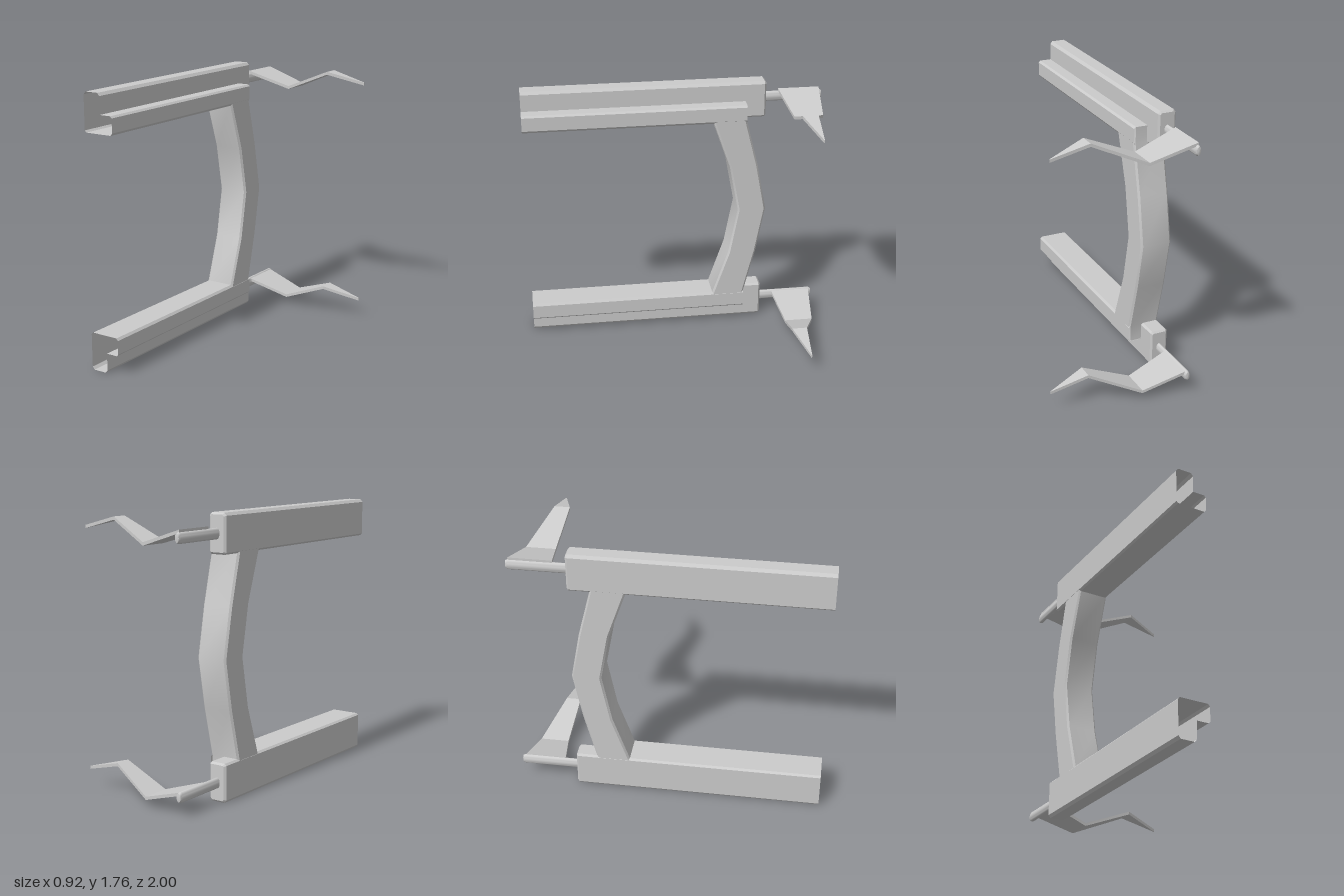
import * as THREE from 'three';
import { toCreasedNormals } from 'three/addons/utils/BufferGeometryUtils.js';

const MID = 0.88; // height of the horizontal symmetry plane
const grey = new THREE.MeshStandardMaterial({ color: 0xcccccc, side: THREE.DoubleSide });

function add(parent, name, geometry) {
  const mesh = new THREE.Mesh(geometry, grey);
  mesh.name = name;
  parent.add(mesh);
  return mesh;
}

const shapeOf = (pts) => new THREE.Shape(pts.map(([x, y]) => new THREE.Vector2(x, y)));

// Extrusion whose bevel stays inside the outline and the given depth
function bevelled(pts, depth, b) {
  const g = new THREE.ExtrudeGeometry(shapeOf(pts), {
    depth: depth - 2 * b, bevelEnabled: true, bevelThickness: b,
    bevelSize: b, bevelOffset: -b, bevelSegments: 1,
  });
  return g.translate(0, 0, b);
}

// Open-ended tube: an extrusion without its two caps
function openTube(pts, depth) {
  const g = new THREE.ExtrudeGeometry(shapeOf(pts), { depth, bevelEnabled: false });
  const start = g.groups[1].start;
  const open = new THREE.BufferGeometry();
  for (const [key, a] of Object.entries(g.attributes)) {
    open.setAttribute(key, new THREE.BufferAttribute(a.array.slice(start * a.itemSize), a.itemSize));
  }
  return open;
}

// Hollow L-section rail with a solid, chamfered rear end; side is 1 (top) or -1 (bottom)
function makeRail(side) {
  const rail = new THREE.Group();
  rail.name = side > 0 ? 'upperRail' : 'lowerRail';
  const place = ([x, h]) => [x, MID + side * h];
  const section = [
    [-0.46, 0.645], [-0.448, 0.633], [-0.262, 0.633], [-0.25, 0.648], [-0.25, 0.738], [-0.262, 0.75],
    [-0.34, 0.75], [-0.34, 0.862], [-0.355, 0.88], [-0.445, 0.88], [-0.46, 0.862],
  ];
  add(rail, 'railTube', openTube(section.map(place), 1.47)).position.z = -0.47;

  const end = [
    [-0.46, 0.645], [-0.448, 0.633], [-0.352, 0.633], [-0.34, 0.645],
    [-0.34, 0.862], [-0.355, 0.88], [-0.445, 0.88], [-0.46, 0.862],
  ];
  add(rail, 'railEnd', bevelled(end.map(place), 0.17, 0.012)).position.z = -0.61;
  return rail;
}

// Bowed upright joining both rails, drawn as [-z, y]
function makeUpright() {
  const half = [[0.61, 0], [0.55, 0.32], [0.47, 0.64], [0.47, 0.748], [0.25, 0.748], [0.25, 0.64], [0.36, 0.32], [0.42, 0]];
  const upper = half.map(([s, h]) => [s, MID + h]);
  const lower = half.slice(1, -1).reverse().map(([s, h]) => [s, MID - h]);
  const g = bevelled([...upper, ...lower], 0.208, 0.012);
  g.rotateY(Math.PI / 2).translate(-0.459, 0, 0);
  return toCreasedNormals(g, 0.4);
}

// Folded, tapering blade: [x, y, back z, front z] per station
const stations = [
  [-0.405, 0.03, -0.975, -0.70],
  [-0.11, -0.06, -0.94, -0.75],
  [0.21, 0.068, -0.825, -0.725],
  [0.455, 0.005, -0.807, -0.803],
];

function makeBlade() {
  const g = new THREE.BoxGeometry(1, 1, 1, 3, 1, 1);
  const p = g.attributes.position;
  for (let i = 0; i < p.count; i++) {
    const [x, y, back, front] = stations[Math.round((p.getX(i) + 0.5) * 3)];
    p.setXYZ(i, x, y + p.getY(i) * 0.02, p.getZ(i) < 0 ? back : front);
  }
  return toCreasedNormals(g, 0.3);
}

// Flattened rod with a rounded tip, pointing backwards
function makeRod() {
  const profile = [[0, 0], [0.034, 0], [0.034, 0.385], [0.026, 0.4], [0, 0.405]];
  const g = new THREE.LatheGeometry(profile.map(([r, h]) => new THREE.Vector2(r, h)), 20);
  g.rotateX(-Math.PI / 2).scale(0.55, 1, 1).translate(-0.4, 0, -0.59);
  return toCreasedNormals(g, 0.5);
}

export function createModel() {
  const model = new THREE.Group();
  model.name = 'bracketWithBlades';
  model.add(makeRail(1), makeRail(-1));
  add(model, 'upright', makeUpright());

  // The blades share one orientation at both ends
  for (const [name, rodY, bladeY] of [['upper', 1.637, 1.645], ['lower', 0.123, 0.115]]) {
    add(model, name + 'Rod', makeRod()).position.y = rodY;
    add(model, name + 'Blade', makeBlade()).position.y = bladeY;
  }
  return model;
}
